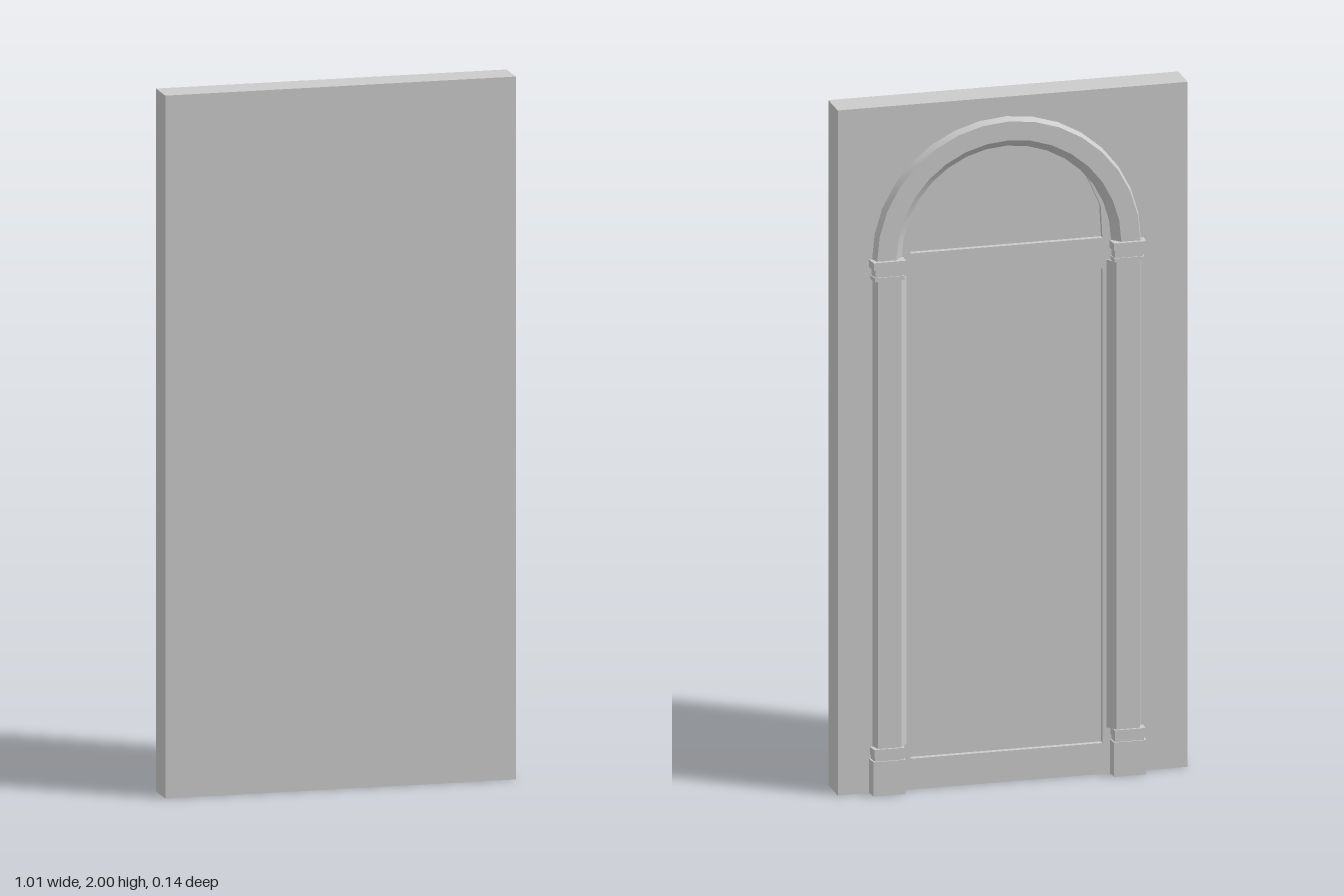
import * as THREE from 'three';
import { toCreasedNormals } from 'three/addons/utils/BufferGeometryUtils.js';

const W = 0.505, CX = 0.018, BACK = 0.03, SPRING = 1.555;

export function createModel() {
  const model = new THREE.Group();
  const mat = new THREE.MeshStandardMaterial({ color: 0xcccccc });
  const add = (parent, name, geo, x = 0, y = 0, z = 0) => {
    const mesh = new THREE.Mesh(toCreasedNormals(geo, 0.5), mat);
    mesh.name = name;
    mesh.position.set(x, y, z);
    parent.add(mesh);
    return mesh;
  };
  const poly = pts => pts.map(p => new THREE.Vector2(...p));

  // Upright block with a trapezoid plan that narrows towards the back
  const block = (parent, name, x0, x1, depth, y0, y1, inner, outer) => {
    const shape = new THREE.Shape(poly([[x0, BACK - 0.005], [x1, BACK - 0.005], [x1 - outer, depth], [x0 + inner, depth]]));
    const geo = new THREE.ExtrudeGeometry(shape, { depth: y1 - y0, bevelEnabled: false });
    geo.rotateX(-Math.PI / 2);
    add(parent, name, geo, 0, y0, 0);
  };

  // Wall slab, with the door and fanlight recesses cut into a rear layer
  const recess = 0.016;
  add(model, 'wallSlab', new THREE.BoxGeometry(2 * W, 2, 0.1 - recess), 0, 1, 0.07 - (0.1 - recess) / 2);
  const layer = new THREE.Shape(poly([[-W, 0], [W, 0], [W, 2], [-W, 2]]));
  const half = 0.277;
  layer.holes.push(new THREE.Path(poly([
    [CX - half, 0.09], [CX - half, 1.475], [CX + half, 1.475], [CX + half, 0.09]
  ])));
  const side = [[half, 1.565], [0.272, 1.66], [0.225, 1.765], [0.15, 1.825], [0.07, 1.84]];
  const fan = [...side, ...side.slice().reverse().map(([x, y]) => [-x, y])];
  layer.holes.push(new THREE.Path(poly(fan.map(([x, y]) => [x + CX, y]).reverse())));
  add(model, 'doorFrame', new THREE.ExtrudeGeometry(layer, { depth: recess, bevelEnabled: false }), 0, 0, -BACK);

  // Arch moulding above the capitals
  const arch = new THREE.LatheGeometry(
    poly([[0.388, 0.03], [0.38, 0.055], [0.325, 0.055], [0.302, 0.03]]), 16, -Math.PI / 2, Math.PI);
  arch.rotateX(-Math.PI / 2);
  add(model, 'archMoulding', arch, CX, SPRING, 0);

  // Pilasters: base, base mouldings, shaft and stepped capital
  for (const s of [-1, 1]) {
    const pilaster = new THREE.Group();
    pilaster.name = s < 0 ? 'rightPilaster' : 'leftPilaster';
    const parts = [
      ['base', 0.298, 0.397, 0.066, 0, 0.1, 0.003, 0.004],
      ['baseMoulding', 0.302, 0.392, 0.062, 0.1, 0.113, 0.003, 0.004],
      ['baseMoulding', 0.3, 0.395, 0.065, 0.113, 0.135, 0.003, 0.004],
      ['shaft', 0.285, 0.388, 0.058, 0.135, 1.5, 0.025, 0.01],
      ['capitalNeck', 0.3, 0.393, 0.063, 1.5, 1.512, 0.003, 0.004],
      ['capitalBand', 0.302, 0.39, 0.06, 1.512, 1.535, 0.003, 0.004],
      ['capitalTop', 0.297, 0.397, 0.067, 1.535, 1.557, 0.003, 0.004]
    ];
    for (const [name, a, b, d, y0, y1, i, o] of parts) {
      if (s > 0) block(pilaster, name, CX + a, CX + b, d, y0, y1, i, o);
      else block(pilaster, name, CX - b, CX - a, d, y0, y1, o, i);
    }
    model.add(pilaster);
  }
  return model;
}
